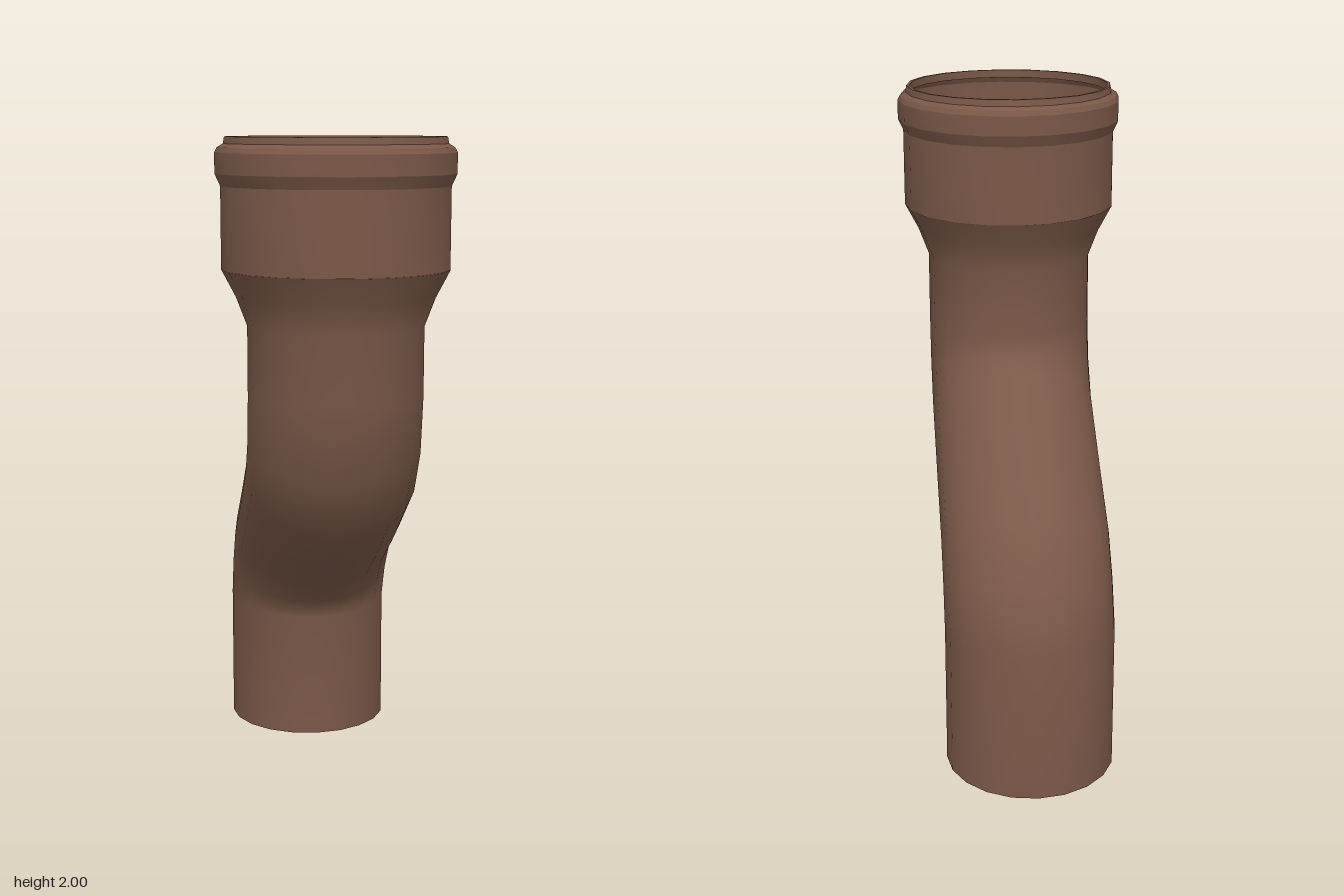
import * as THREE from 'three';
import { toCreasedNormals } from 'three/addons/utils/BufferGeometryUtils.js';

const SIDES = 20;

// Smooth tube through rings given as [frontZ, frontY, backZ, backY, halfWidth]
function loft(rings) {
  const pos = [], index = [];
  rings.forEach(([fz, fy, bz, by, r], i) => {
    for (let j = 0; j < SIDES; j++) {
      const a = (j / SIDES) * Math.PI * 2, s = Math.sin(a);
      pos.push(Math.cos(a) * r, (fy + by) / 2 + s * (fy - by) / 2, (fz + bz) / 2 + s * (fz - bz) / 2);
      if (i === rings.length - 1) continue;
      const k = (j + 1) % SIDES;
      const p = i * SIDES + j, q = i * SIDES + k;
      index.push(p, p + SIDES, q, q, p + SIDES, q + SIDES);
    }
  });
  const g = new THREE.BufferGeometry();
  g.setAttribute('position', new THREE.Float32BufferAttribute(pos, 3));
  g.setIndex(index);
  g.computeVertexNormals();
  return g;
}

export function createModel() {
  const group = new THREE.Group();
  group.name = 'offsetPipe';
  const material = new THREE.MeshStandardMaterial({ color: 0x7a5848, side: THREE.DoubleSide });
  const R = 0.263, topZ = 0.315;

  // Spigot, two opposing bends and the flare up to the socket
  const pipe = new THREE.Mesh(loft([
    [-0.138, 0, -0.662, 0, R],
    [-0.138, 0.41, -0.66, 0.47, R],
    [-0.09, 0.48, -0.585, 0.66, R],
    [-0.02, 0.55, -0.47, 0.82, R],
    [0.17, 0.66, -0.23, 0.983, R],
    [0.41, 0.82, -0.01, 1.14, R],
    [0.533, 1.01, 0.03, 1.18, R],
    [0.573, 1.25, 0.055, 1.235, R],
    [topZ + R, 1.455, topZ - R, 1.455, R],
    [topZ + 0.295, 1.54, topZ - 0.295, 1.54, 0.295],
    [topZ + 0.337, 1.62, topZ - 0.337, 1.62, 0.337],
  ]), material);
  pipe.name = 'bentPipe';
  group.add(pipe);

  // Socket wall, seal bead and rolled rim
  const profile = [
    [0.337, 1.62], [0.337, 1.86], [0.353, 1.895], [0.353, 1.955], [0.345, 1.97],
    [0.328, 1.98], [0.324, 2.0], [0.315, 2.0], [0.315, 1.975],
  ].map(([r, y]) => new THREE.Vector2(r, y));
  const socket = new THREE.Mesh(toCreasedNormals(new THREE.LatheGeometry(profile, SIDES), 0.42), material);
  socket.name = 'socket';
  socket.position.z = topZ - 0.003;
  group.add(socket);

  return group;
}
